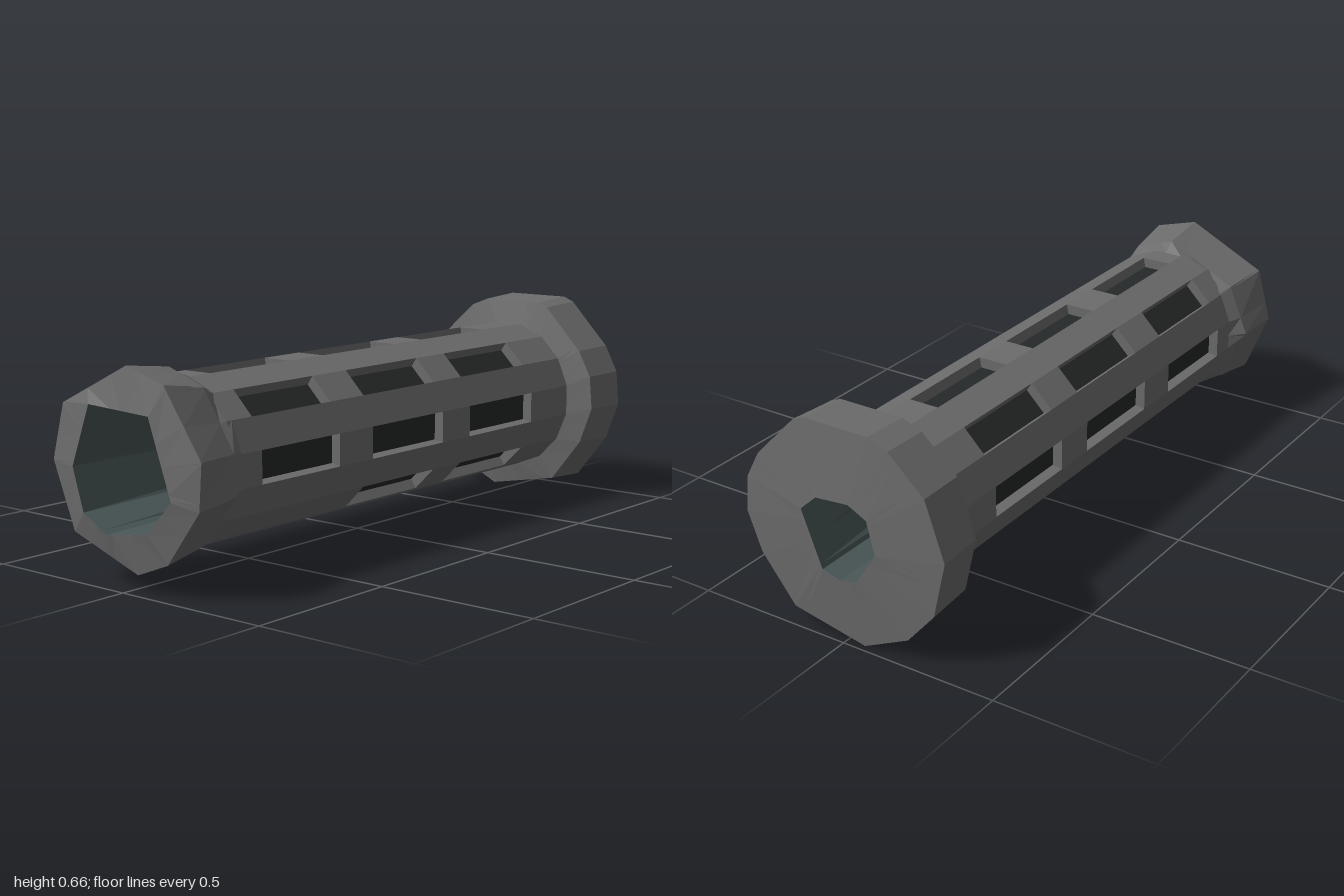
import * as THREE from 'three';

const CY = 0.335; // height of the tube axis
const grey = new THREE.MeshStandardMaterial({ color: 0x6c6c6c });
grey.name = 'grey shell';
const dark = new THREE.MeshStandardMaterial({ color: 0x262929 });
dark.name = 'dark recess';
const slate = new THREE.MeshStandardMaterial({ color: 0x4a5757 });
slate.name = 'slate bore';

// Faceted mesh from counter-clockwise quads
function quadMesh(name, quads, material) {
  const pos = [];
  for (const [a, b, c, d] of quads) pos.push(...a, ...b, ...c, ...a, ...c, ...d);
  const g = new THREE.BufferGeometry();
  g.setAttribute('position', new THREE.Float32BufferAttribute(pos, 3));
  g.computeVertexNormals();
  const m = new THREE.Mesh(g, material);
  m.name = name;
  return m;
}

const angleOf = ([x, y]) => (Math.atan2(y - CY, x) + Math.PI * 2) % (Math.PI * 2);

// Where a ray from the axis at angle t meets a polygon
function onPolygon(poly, t) {
  const dx = Math.cos(t), dy = Math.sin(t);
  let best = 0;
  poly.forEach(([x1, y1], i) => {
    const [x2, y2] = poly[(i + 1) % poly.length];
    const ex = x2 - x1, ey = y2 - y1, den = dx * ey - dy * ex;
    if (Math.abs(den) < 1e-9) return;
    const r = (x1 * ey - (y1 - CY) * ex) / den;
    const s = (x1 * dy - (y1 - CY) * dx) / den;
    if (r > 0 && s > -1e-6 && s < 1 + 1e-6) best = Math.max(best, r);
  });
  return [best * dx, CY + best * dy];
}

// Skin through [polygon, z] rings, using every polygon's corner angles
function loft(name, rings, material) {
  const all = rings.flatMap(([poly]) => poly.map(angleOf)).sort((a, b) => a - b);
  const angles = all.filter((t, i) => i === 0 || t - all[i - 1] > 1e-4);
  const pts = rings.map(([poly, z]) => angles.map((t) => [...onPolygon(poly, t), z]));
  const quads = [];
  for (let r = 0; r < rings.length - 1; r++) {
    angles.forEach((_, i) => {
      const j = (i + 1) % angles.length;
      quads.push([pts[r][i], pts[r + 1][i], pts[r + 1][j], pts[r][j]]);
    });
  }
  return quadMesh(name, quads, material);
}

// Tube outline: sixteen facets, every other one centred on a slot
const SIDES = 16, RADIUS = 0.246, FLOOR = 0.214;
function corner(k, r) {
  const t = ((k - 0.5) / SIDES) * Math.PI * 2;
  return [r * Math.cos(t), CY + r * Math.sin(t)];
}
const tubeRing = Array.from({ length: SIDES }, (_, k) => corner(k, RADIUS));

const collarRing = [[0.285, 0.395], [0.15, 0.585], [0.01, 0.625], [-0.245, 0.5], [-0.29, 0.335],
  [-0.21, 0.14], [0.04, 0.055], [0.155, 0.1], [0.275, 0.26]];
const collarBackRing = [[0.25, 0.39], [0.14, 0.56], [0.01, 0.605], [-0.22, 0.49], [-0.285, 0.335],
  [-0.2, 0.16], [0.03, 0.085], [0.14, 0.125], [0.25, 0.27]];
const flangeRing = [[0.33, 0.42], [0.285, 0.505], [0.15, 0.645], [0.115, 0.66], [-0.1, 0.66],
  [-0.165, 0.635], [-0.28, 0.53], [-0.34, 0.355], [-0.3, 0.18], [-0.21, 0.075], [-0.06, 0.003],
  [0.185, 0.05], [0.295, 0.19], [0.34, 0.31]];
const flangeFrontRing = flangeRing.map(([x, y]) => [x * 0.975, CY + (y - CY) * 0.975]);
const frontHole = [[0.11, 0.5], [-0.12, 0.51], [-0.19, 0.33], [-0.15, 0.205], [-0.06, 0.155],
  [0.1, 0.18], [0.19, 0.28]];
const backHole = [[0.125, 0.39], [0.07, 0.44], [-0.04, 0.45], [-0.1, 0.42], [-0.125, 0.32],
  [-0.055, 0.215], [0, 0.205], [0.06, 0.22]];

// Tube wall with three rows of eight slots
function slottedTube() {
  const group = new THREE.Group();
  group.name = 'slottedTube';
  const zs = [0.8, 0.7, 0.37, 0.22, -0.12, -0.26, -0.6, -0.83];
  const wall = [], floors = [];
  for (let k = 0; k < SIDES; k++) {
    for (let s = 0; s < zs.length - 1; s++) {
      const face = (r) => [[k, s], [k, s + 1], [k + 1, s + 1], [k + 1, s]]
        .map(([c, z]) => [...corner(c, r), zs[z]]);
      const outer = face(RADIUS);
      const solid = k % 2 === 1 || s % 2 === 0 || (k === 14 && s === 1);
      if (solid) {
        wall.push(outer);
        continue;
      }
      const inner = face(FLOOR);
      floors.push(inner);
      for (let i = 0; i < 4; i++) {
        const j = (i + 1) % 4;
        wall.push([outer[i], outer[j], inner[j], inner[i]]);
      }
    }
  }
  group.add(quadMesh('tubeWall', wall, grey), quadMesh('slotFloors', floors, dark));
  return group;
}

export function createModel() {
  const model = new THREE.Group();
  model.name = 'slottedSleeve';
  model.add(slottedTube());
  // Flared front collar with its end face
  model.add(loft('frontCollar',
    [[frontHole, 1], [collarRing, 0.98], [collarBackRing, 0.82], [tubeRing, 0.78]], grey));
  // Wide back flange with its end face
  model.add(loft('backFlange',
    [[tubeRing, -0.81], [flangeFrontRing, -0.825], [flangeRing, -0.98], [backHole, -1]], grey));
  // Tapered bore running right through
  model.add(loft('bore', [[backHole, -1], [frontHole, 1]], slate));
  return model;
}
